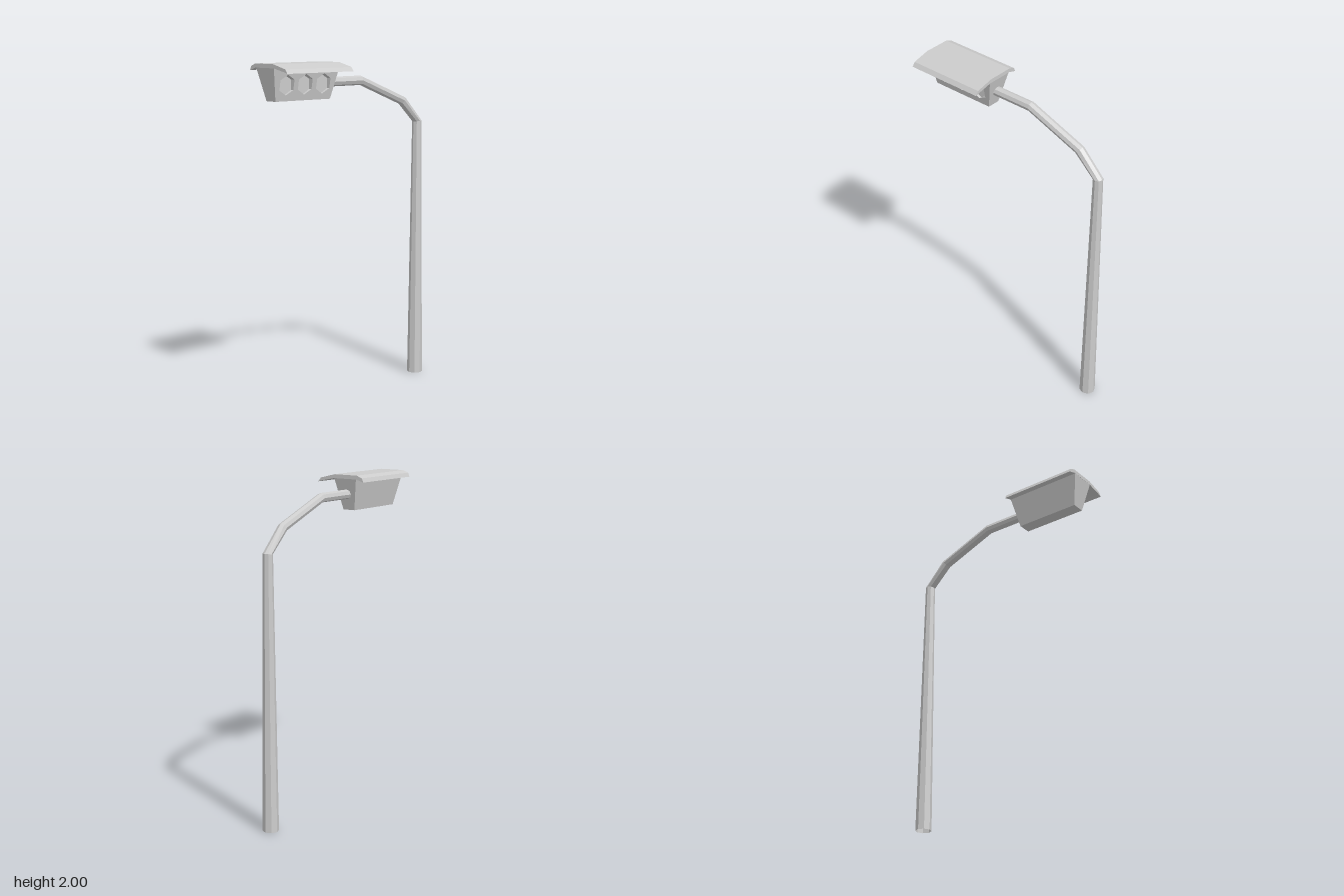
import * as THREE from 'three';

const material = new THREE.MeshStandardMaterial({ color: 0xcccccc, flatShading: true, side: THREE.DoubleSide });

function addMesh(parent, name, geometry) {
  const mesh = new THREE.Mesh(geometry, material);
  mesh.name = name;
  parent.add(mesh);
  return mesh;
}

// Flat-shaded geometry from quads, each listed counter-clockwise from outside
function fromQuads(quads) {
  const points = quads.flatMap(([a, b, c, d]) => [a, b, c, a, c, d]);
  const geometry = new THREE.BufferGeometry();
  geometry.setAttribute('position', new THREE.Float32BufferAttribute(points.flat(), 3));
  geometry.computeVertexNormals();
  return geometry;
}

// Octagonal tube through rings of [centre x, centre y, outer offset x, outer offset y, z radius]
function octagonTube(rings, z) {
  const loops = rings.map(([x, y, ux, uy, r]) => Array.from({ length: 9 }, (_, i) => {
    const a = (i % 8) * Math.PI / 4, c = Math.cos(a), s = Math.sin(a);
    return [x + ux * c, y + uy * c, z + r * s];
  }));
  const quads = [];
  for (let k = 0; k < loops.length - 1; k++) {
    for (let i = 0; i < 8; i++) {
      quads.push([loops[k][i], loops[k + 1][i], loops[k + 1][i + 1], loops[k][i + 1]]);
    }
  }
  return fromQuads(quads);
}

// Upright hexagon in the xy plane, point up
function hexagon(cx, cy, r) {
  return Array.from({ length: 6 }, (_, i) => {
    const a = Math.PI / 2 + i * Math.PI / 3;
    return new THREE.Vector2(cx + r * Math.cos(a), cy + r * Math.sin(a));
  });
}

export function createModel() {
  const model = new THREE.Group();
  model.name = 'streetLight';
  const poleZ = -0.034;

  // Tapered pole and the bent arm, sharing the ring at the pole's top
  const topRing = [0.572, 1.618, 0.029, 0.003, 0.029];
  addMesh(model, 'pole', octagonTube([[0.572, 0, 0.048, 0, 0.048], topRing], poleZ));
  addMesh(model, 'arm', octagonTube([
    topRing,
    [0.44, 1.75, 0.019, 0.022, 0.029],
    [0.092, 1.885, 0.003, 0.028, 0.029],
    [-0.2, 1.885, 0, 0.028, 0.029],
  ], poleZ));

  const lamp = new THREE.Group();
  lamp.name = 'lampHead';
  model.add(lamp);

  // Housing: tapered box with a sloping front
  const bottom = 1.79, top = 1.977;
  const frontZ = y => 0.008 + (y - bottom) * 0.2;
  const lo = { l: -0.585, r: -0.183, f: frontZ(bottom), b: -0.072 };
  const hi = { l: -0.623, r: -0.14, f: frontZ(top), b: -0.113 };
  const corners = (e, y) => [[e.l, y, e.f], [e.r, y, e.f], [e.r, y, e.b], [e.l, y, e.b]];
  const p = corners(lo, bottom), q = corners(hi, top);
  addMesh(lamp, 'housing', fromQuads([
    [p[1], p[2], q[2], q[1]],
    [p[2], p[3], q[3], q[2]],
    [p[3], p[0], q[0], q[3]],
    [p[3], p[2], p[1], p[0]],
    [q[0], q[1], q[2], q[3]],
  ]));

  // Front panel with three hexagonal openings, sheared onto the slope
  const panel = new THREE.Shape([p[0], p[1], q[1], q[0]].map(v => new THREE.Vector2(v[0], v[1])));
  const lensZ = 0;
  for (const x of [-0.516, -0.383, -0.249]) {
    const hex = hexagon(x, 1.881, 0.058);
    panel.holes.push(new THREE.Path(hex));

    // Recess walls and the upright lens at the back
    addMesh(lamp, 'lensRecess', fromQuads(hex.map((a, i) => {
      const b = hex[(i + 1) % 6];
      return [[a.x, a.y, lensZ], [b.x, b.y, lensZ], [b.x, b.y, frontZ(b.y)], [a.x, a.y, frontZ(a.y)]];
    })));
    const lens = new THREE.ShapeGeometry(new THREE.Shape(hex));
    lens.translate(0, 0, lensZ);
    addMesh(lamp, 'lens', lens);
  }
  const panelGeometry = new THREE.ShapeGeometry(panel);
  const pos = panelGeometry.attributes.position;
  for (let i = 0; i < pos.count; i++) pos.setZ(i, frontZ(pos.getY(i)));
  panelGeometry.computeVertexNormals();
  addMesh(lamp, 'frontPanel', panelGeometry);

  // Bent roof: [z, y] profile extruded along x
  const profile = [
    [0.163, 1.951], [0.145, 1.975], [0.04, 2], [-0.12, 2], [-0.157, 1.986], [-0.168, 1.962],
    [-0.152, 1.966], [-0.118, 1.977], [0.045, 1.977], [0.14, 1.958],
  ];
  const roof = new THREE.ExtrudeGeometry(
    new THREE.Shape(profile.map(([z, y]) => new THREE.Vector2(-z, y))),
    { depth: 0.486, bevelEnabled: false });
  roof.rotateY(Math.PI / 2);
  roof.translate(-0.624, 0, 0);
  addMesh(lamp, 'roof', roof);

  return model;
}
